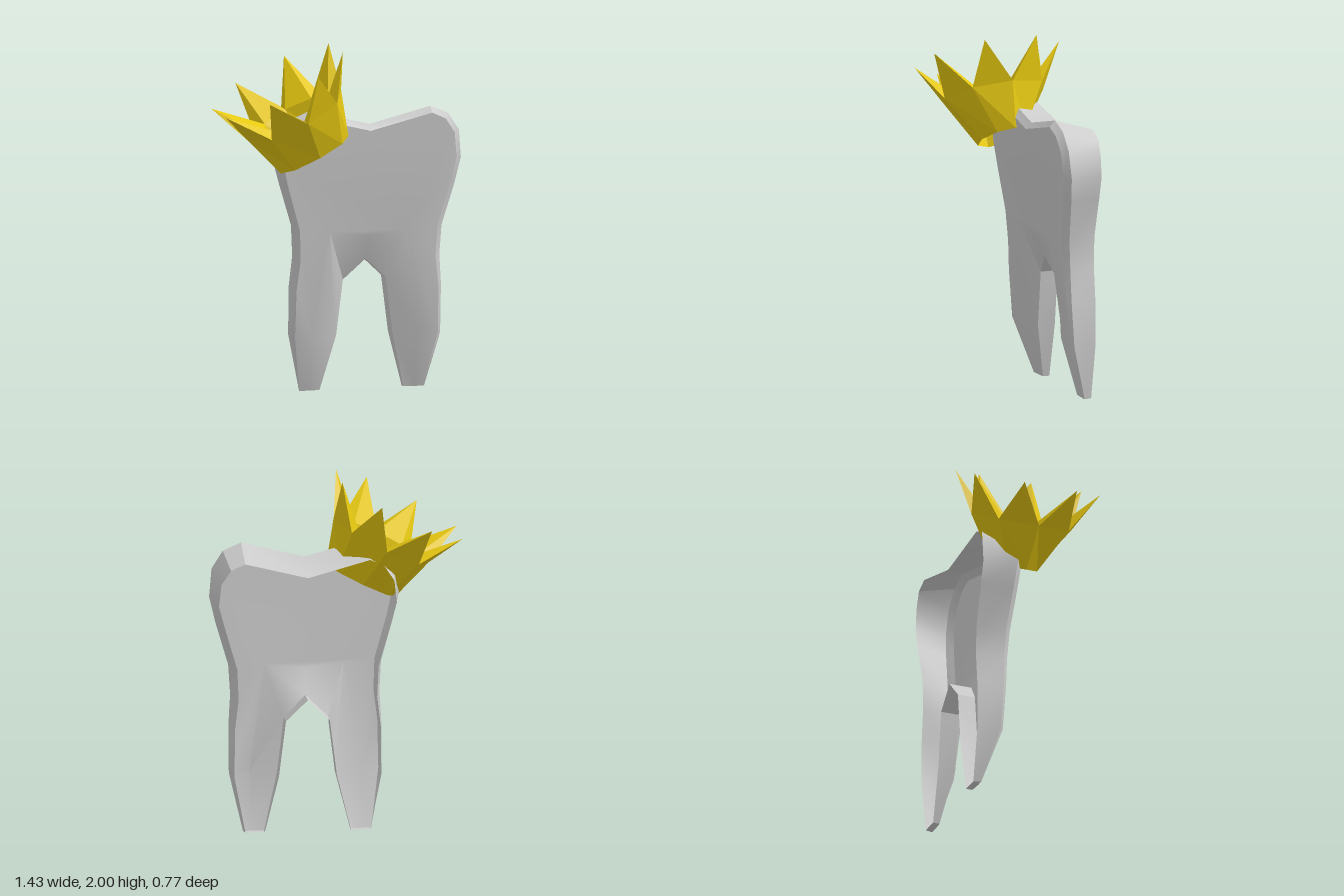
import * as THREE from 'three';
import { toCreasedNormals } from 'three/addons/utils/BufferGeometryUtils.js';

const quad = (out, a, b, c, d) => out.push(a, b, c, a, c, d);

function createTooth() {
  const mid = 0.175;
  // Half outline: x, y, bevel weight, own depth; from the root notch round to the top dip
  const half = [
    [0.175, 0.76, 0, -0.12], [0.30, 0.64, 0, -0.15], [0.34, 0.32, 0, -0.15], [0.42, 0, 0, -0.215],
    [0.49, 0, 0, -0.21], [0.54, 0, 0.3], [0.61, 0.32, 0.5], [0.61, 0.6, 0.6], [0.6, 0.77, 0.9],
    [0.61, 0.94, 1], [0.68, 1.18, 1], [0.715, 1.33, 1], [0.70, 1.49, 1], [0.635, 1.59, 1],
    [0.53, 1.635, 1], [0.175, 1.545, 1],
  ];
  const mirrored = half.slice(1, -1).reverse().map(([x, y, w, z]) => [2 * mid - x, y, w, z]);
  const outline = [...half, ...mirrored];
  const n = outline.length;

  const frontZ = (y) => (y < 0.32 ? -0.21 + (y / 0.32) * 0.11 : -0.1 + ((y - 0.32) / 1.28) * 0.1);

  // Outline moved inward by the weighted inset, dropped near the top, at the given depth
  const loop = (inset, drop, depth) => outline.map(([x, y, w, z], i) => {
    const a = outline[(i + n - 1) % n], b = outline[(i + 1) % n];
    const t = new THREE.Vector2(b[0] - a[0], b[1] - a[1]).normalize();
    const px = x - t.y * inset * w;
    const py = y === 0 ? 0 : y + t.x * inset * w;
    const fall = drop * THREE.MathUtils.clamp((y - 1.2) / 0.3, 0, 1);
    return new THREE.Vector3(px, py - fall, depth(px, y, w, z));
  });
  const front = loop(0.034, 0, (x, y, w, z) => z ?? frontZ(y));
  const frontRim = loop(0, 0, (x, y, w, z) => z ?? frontZ(y) - (y === 0 ? 0 : 0.035 * w));
  const backRim = loop(0.034, 0.04, (x, y) => (y < 1.5 ? -0.254 : x < mid - 0.01 ? -0.235 : -0.262));

  // Sides: bevel, then the wall to the open back
  const tris = [];
  for (const [a, b] of [[front, frontRim], [frontRim, backRim]]) {
    a.forEach((p, i) => quad(tris, p, b[i], b[(i + 1) % n], a[(i + 1) % n]));
  }

  // Front: the inner halves of the roots and the notch roll back from these ridge points
  const ridge = [[mid, 0.9], [0.40, 0.93], [0.49, 0.32], [2 * mid - 0.40, 0.93], [2 * mid - 0.49, 0.32]];
  const pts = [...front, ...ridge.map(([x, y]) => new THREE.Vector3(x, y, frontZ(y)))];
  const mirror = (j) => (j < n ? (n - j) % n : j === n ? n : j + 2);
  const [top, hip, bend] = [n, n + 1, n + 2];
  const root = [
    [0, 1, hip, top], [1, 2, bend, hip], [2, 3, 4, bend], [4, 5, 6, bend], [6, 7, 8, 9, hip, bend],
  ];
  const rightEdge = [hip, 9, 10, 11, 12, 13, 14];
  const body = [top, ...rightEdge, 15, ...rightEdge.map(mirror).reverse()];
  for (const part of [body, ...root, ...root.map((p) => p.map(mirror).reverse())]) {
    const flat = part.map((i) => new THREE.Vector2(pts[i].x, pts[i].y));
    for (const face of THREE.ShapeUtils.triangulateShape(flat, [])) {
      tris.push(...face.map((k) => pts[part[k]]));
    }
  }
  const geo = toCreasedNormals(new THREE.BufferGeometry().setFromPoints(tris), 0.5);
  const mat = new THREE.MeshStandardMaterial({ color: 0xcccccc, side: THREE.DoubleSide });
  const tooth = new THREE.Mesh(geo, mat);
  tooth.name = 'tooth';
  return tooth;
}

function createCrown() {
  const count = 8;
  const ring = (rx, rz, y, shift = 0) => Array.from({ length: count }, (_, i) => {
    const a = ((i + shift) / count) * Math.PI * 2;
    return new THREE.Vector3(rx * Math.cos(a), y, rz * Math.sin(a));
  });
  const base = ring(0.221, 0.125, 0);
  const outer = ring(0.303, 0.303, 0.257);
  const inner = ring(0.215, 0.212, 0.257);
  const tips = ring(0.416, 0.416, 0.488, 0.5);

  const tris = [];
  for (let i = 0; i < count; i++) {
    const j = (i + 1) % count;
    // Outer and inner wall
    quad(tris, base[i], outer[i], outer[j], base[j]);
    quad(tris, base[j], inner[j], inner[i], base[i]);
    // Four-sided spike
    tris.push(outer[i], tips[i], outer[j]);
    tris.push(inner[j], tips[i], inner[i]);
    tris.push(inner[i], tips[i], outer[i]);
    tris.push(outer[j], tips[i], inner[j]);
  }
  const geo = new THREE.BufferGeometry().setFromPoints(tris);
  geo.computeVertexNormals();
  const mat = new THREE.MeshStandardMaterial({ color: 0xe6c811, flatShading: true, side: THREE.DoubleSide });
  const crown = new THREE.Mesh(geo, mat);
  crown.name = 'crown';
  // Worn tilted on one corner of the tooth
  crown.position.set(-0.155, 1.39, 0);
  crown.rotation.z = THREE.MathUtils.degToRad(26.8);
  return crown;
}

export function createModel() {
  const model = new THREE.Group();
  model.name = 'crownedTooth';
  model.add(createTooth(), createCrown());
  return model;
}
